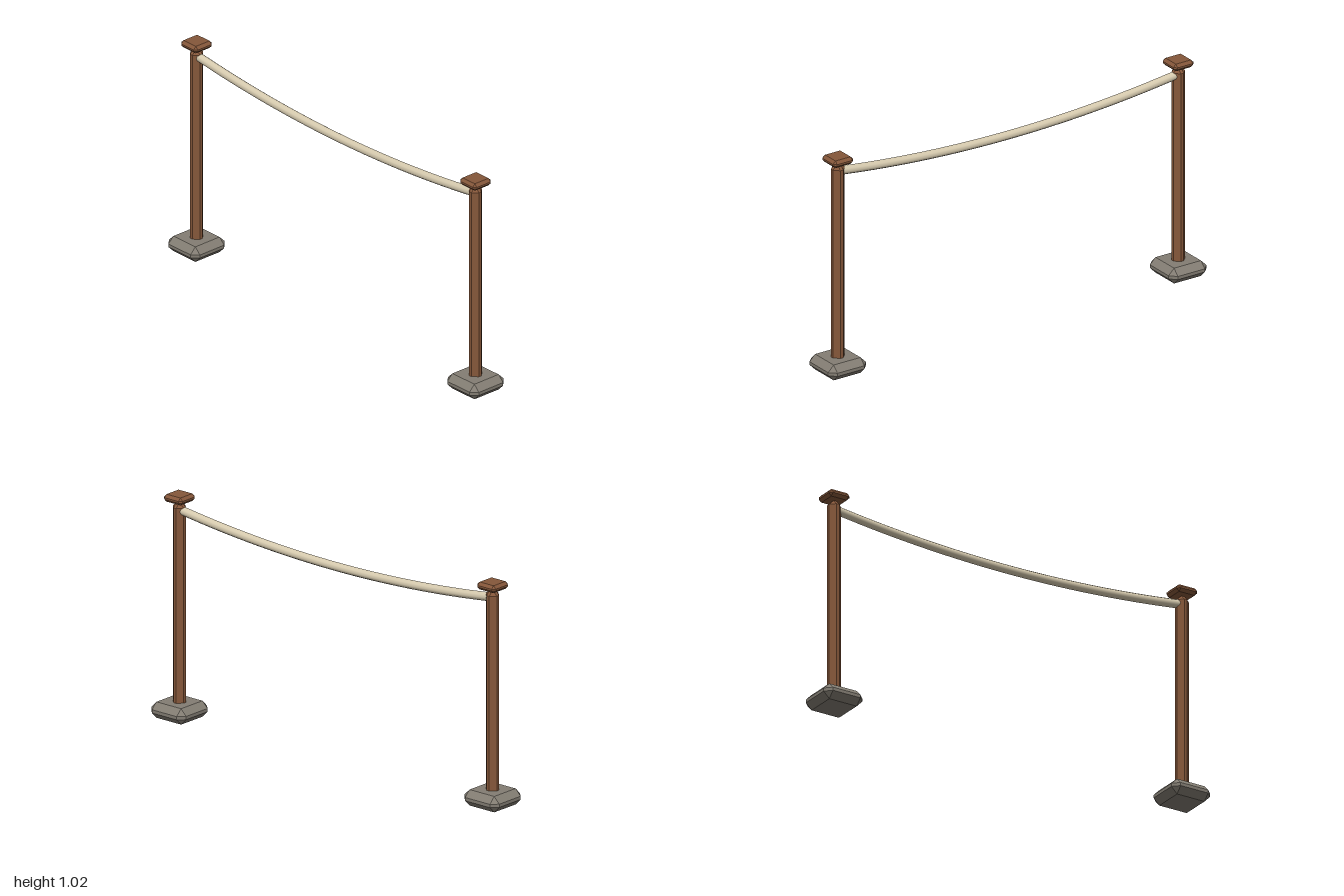
import * as THREE from 'three';
import { ConvexGeometry } from 'three/addons/geometries/ConvexGeometry.js';

// Box with every edge and corner chamfered by b, from half sizes
function chamferBox(hx, hy, hz, b) {
  const points = [];
  for (const x of [-1, 1]) for (const y of [-1, 1]) for (const z of [-1, 1]) {
    points.push(
      new THREE.Vector3(x * hx, y * (hy - b), z * (hz - b)),
      new THREE.Vector3(x * (hx - b), y * hy, z * (hz - b)),
      new THREE.Vector3(x * (hx - b), y * (hy - b), z * hz));
  }
  return new ConvexGeometry(points);
}

export function createModel() {
  const model = new THREE.Group();
  model.name = 'ropeBarrier';

  const material = (name, color) => {
    const m = new THREE.MeshStandardMaterial({ color });
    m.name = name;
    return m;
  };
  const wood = material('wood', 0x85573a);
  const stone = material('stone', 0x837d73);
  const rope = material('rope', 0xd8ccb0);

  // Mesh spanning y0 to y1 with a square plan
  const block = (name, half, y0, y1, bevel, mat) => {
    const mesh = new THREE.Mesh(chamferBox(half, (y1 - y0) / 2, half, bevel), mat);
    mesh.name = name;
    mesh.position.y = (y0 + y1) / 2;
    return mesh;
  };

  // Two posts, each with a foot and a cap
  for (const side of [-1, 1]) {
    const post = new THREE.Group();
    post.name = side > 0 ? 'leftPost' : 'rightPost';
    post.position.x = side * 0.9;
    post.add(
      block('foot', 0.1, 0, 0.073, 0.029, stone),
      block('shaft', 0.031, 0.03, 0.99, 0.0235, wood),
      block('cap', 0.053, 0.991, 1.025, 0.013, wood));
    model.add(post);
  }

  // Sagging rope between the posts
  const points = [];
  for (let i = 0; i <= 12; i++) {
    const t = -1 + i / 6;
    points.push(new THREE.Vector3(t * 0.88, 0.893 + 0.058 * t * t, 0));
  }
  const curve = new THREE.CatmullRomCurve3(points);
  const ropeMesh = new THREE.Mesh(new THREE.TubeGeometry(curve, 32, 0.0195, 10), rope);
  ropeMesh.name = 'rope';
  model.add(ropeMesh);

  // Rope end caps
  for (const end of [0, 1]) {
    const cap = new THREE.Mesh(new THREE.CircleGeometry(0.0195, 10), rope);
    cap.name = 'ropeEnd';
    cap.position.copy(curve.getPoint(end));
    const dir = curve.getTangent(end).multiplyScalar(end ? 1 : -1);
    cap.quaternion.setFromUnitVectors(new THREE.Vector3(0, 0, 1), dir);
    model.add(cap);
  }
  return model;
}
